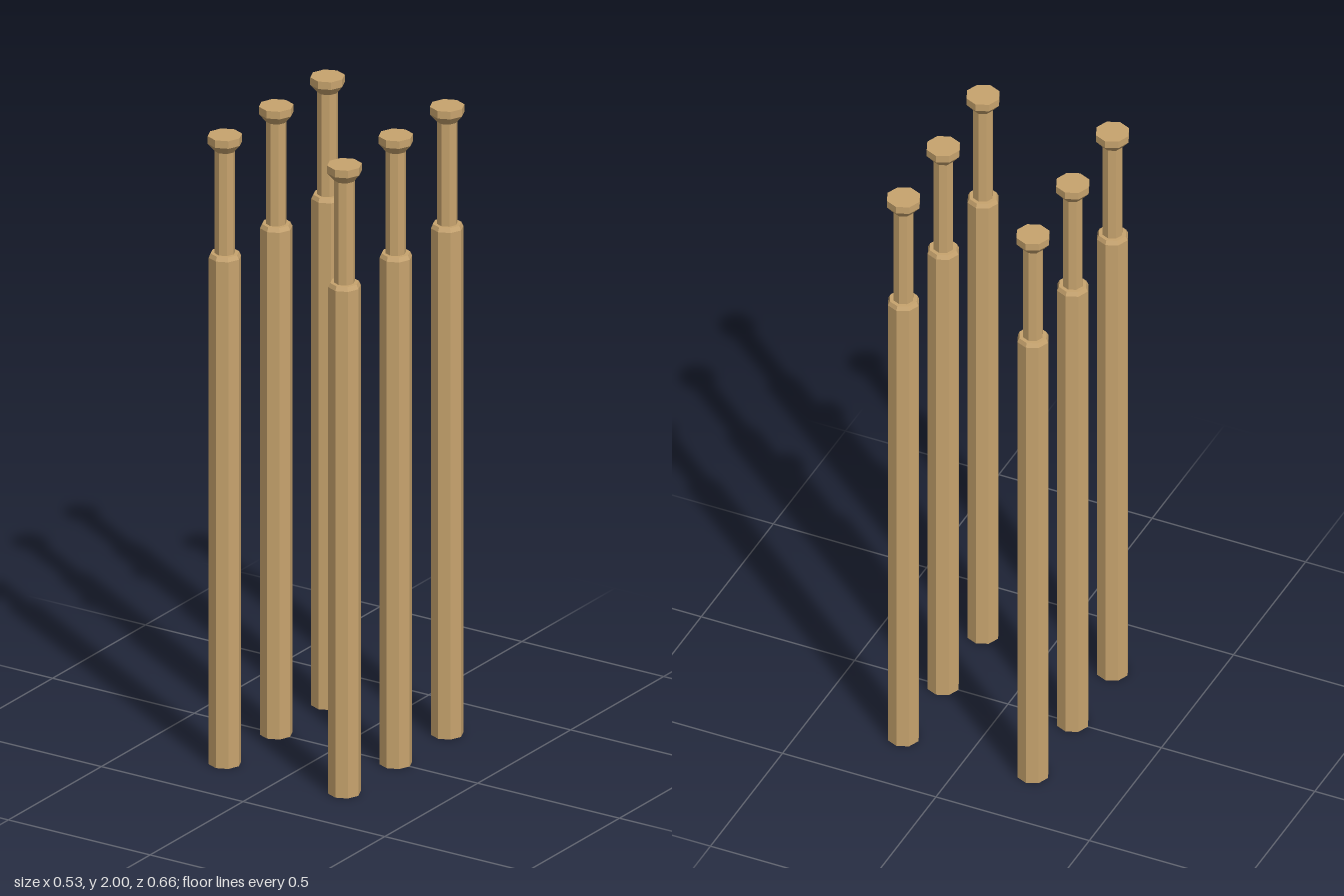
import * as THREE from 'three';

export function createModel() {
  const model = new THREE.Group();
  model.name = 'columns';
  const sandstone = new THREE.MeshStandardMaterial({
    color: 0xc8a46e, flatShading: true, side: THREE.DoubleSide,
  });
  sandstone.name = 'sandstone';

  // eight-sided turned section from [radius, height] pairs, bottom to top
  const turned = (points) =>
    new THREE.LatheGeometry(points.map(([r, y]) => new THREE.Vector2(r, y)), 8);

  const parts = {
    // thick lower shaft, open below, with a bevelled shoulder
    shaft: turned([[0.049, 0], [0.049, 1.613], [0.043, 1.626], [0.031, 1.626]]),
    // slim upper shaft
    neck: turned([[0.031, 1.626], [0.031, 1.951]]),
    // flared capital with a flat top
    capital: turned([[0.031, 1.951], [0.052, 1.976], [0.052, 2], [0, 2]]),
  };

  // two rows of three columns
  for (const x of [-0.211, 0.211]) {
    for (const z of [-0.276, 0, 0.276]) {
      const column = new THREE.Group();
      column.name = 'column';
      for (const [name, geometry] of Object.entries(parts)) {
        const mesh = new THREE.Mesh(geometry, sandstone);
        mesh.name = name;
        column.add(mesh);
      }
      column.position.set(x, 0, z);
      model.add(column);
    }
  }
  return model;
}
